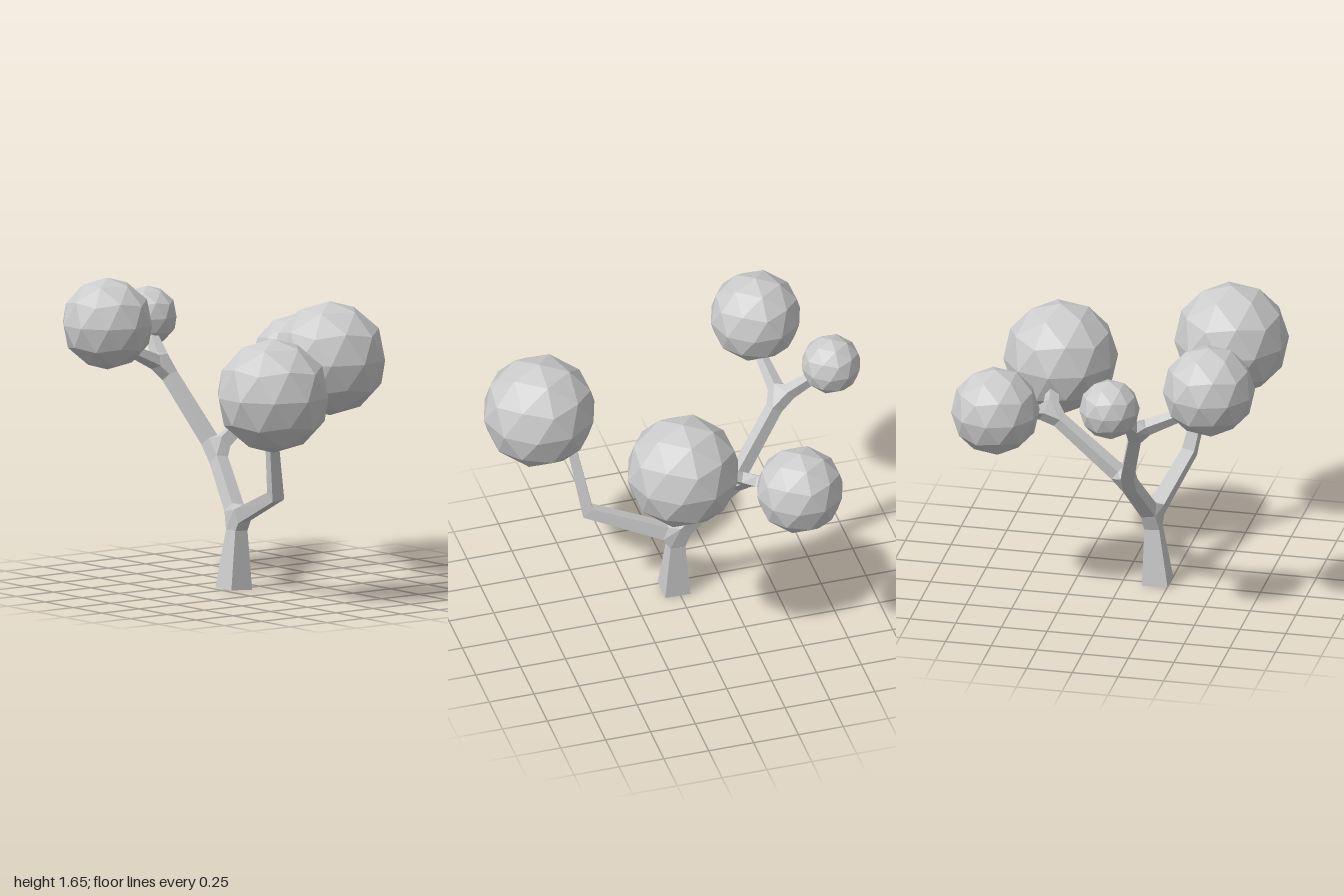
import * as THREE from 'three';
import { ConvexGeometry } from 'three/addons/geometries/ConvexGeometry.js';

const material = new THREE.MeshStandardMaterial({ color: 0xcccccc, flatShading: true });
const FORK_REACH = 0.065;

// Branch skeleton: joint position, half width, child joints
const joint = (name, x, y, z, half, ...kids) => ({ name, p: new THREE.Vector3(x, y, z), half, kids });

const skeleton = joint('trunk', -0.183, 0.005, 0.015, 0.07,
  joint('trunkFork', -0.157, 0.385, 0.012, 0.041,
    joint('frontElbow', -0.255, 0.568, 0.477, 0.035,
      joint('frontTip', -0.345, 1.0, 0.55, 0.024)),
    joint('upperFork', -0.08, 0.71, -0.28, 0.037,
      joint('backFork', -0.2, 1.14, -0.58, 0.033,
        joint('leftBackTip', -0.43, 1.24, -0.55, 0.024),
        joint('backTip', -0.145, 1.29, -0.77, 0.024)),
      joint('rightFork', 0.345, 1.055, -0.245, 0.031,
        joint('rightBackTip', 0.48, 1.09, -0.36, 0.024),
        joint('rightFrontTip', 0.37, 1.15, -0.07, 0.024)))));

// Foliage balls: name, centre, radius
const foliage = [
  ['frontFoliage', -0.437, 1.152, 0.692, 0.308],
  ['rightFrontFoliage', 0.373, 1.213, 0.132, 0.308],
  ['rightBackFoliage', 0.6, 1.126, -0.452, 0.238],
  ['leftBackFoliage', -0.593, 1.406, -0.56, 0.248],
  ['backFoliage', -0.111, 1.371, -0.838, 0.162],
];

// Four corners of a square section across the given direction
function ring(centre, dir, side, half) {
  const u = side.clone().addScaledVector(dir, -side.dot(dir)).normalize();
  const v = new THREE.Vector3().crossVectors(dir, u);
  return [[1, 1], [-1, 1], [-1, -1], [1, -1]].map(([a, b]) =>
    centre.clone().addScaledVector(u, a * half).addScaledVector(v, b * half));
}

function addHull(group, name, points) {
  const mesh = new THREE.Mesh(new ConvexGeometry(points), material);
  mesh.name = name;
  group.add(mesh);
}

// Grow limbs from a joint, carrying the section's side vector round each bend
function grow(group, from, startRing, to, dir, side) {
  const fork = to.kids.length > 1;
  const bend = to.kids.length === 1
    ? to.kids[0].p.clone().sub(to.p).normalize().add(dir).normalize() : dir;
  const end = to.p.clone().addScaledVector(dir, fork ? -FORK_REACH : 0);
  const endRing = ring(end, bend, side, to.half);
  addHull(group, `${from.name}To${to.name[0].toUpperCase()}${to.name.slice(1)}`, [...startRing, ...endRing]);

  const corners = [...endRing];
  for (const kid of to.kids) {
    const kidDir = kid.p.clone().sub(to.p).normalize();
    const turn = new THREE.Quaternion().setFromUnitVectors(dir, kidDir);
    const kidSide = side.clone().applyQuaternion(turn);
    let kidRing = endRing;
    if (fork) {
      kidRing = ring(to.p.clone().addScaledVector(kidDir, FORK_REACH), kidDir, kidSide, to.half * 0.95);
      corners.push(...kidRing);
    }
    grow(group, to, kidRing, kid, kidDir, kidSide);
  }
  if (fork) addHull(group, to.name, corners);
}

export function createModel() {
  const model = new THREE.Group();
  model.name = 'tree';

  // Trunk and branches
  const branches = new THREE.Group();
  branches.name = 'branches';
  const first = skeleton.kids[0];
  const dir = first.p.clone().sub(skeleton.p).normalize();
  const side = new THREE.Vector3(1, 0, 0);
  grow(branches, skeleton, ring(skeleton.p, dir, side, skeleton.half), first, dir, side);
  model.add(branches);

  // Faceted foliage with a vertex at the top
  const ball = new THREE.IcosahedronGeometry(1, 1);
  ball.rotateX(-Math.atan((1 + Math.sqrt(5)) / 2)).rotateY(Math.PI / 2);
  for (const [name, x, y, z, r] of foliage) {
    const mesh = new THREE.Mesh(ball, material);
    mesh.name = name;
    mesh.position.set(x, y, z);
    mesh.scale.setScalar(r);
    model.add(mesh);
  }
  return model;
}
